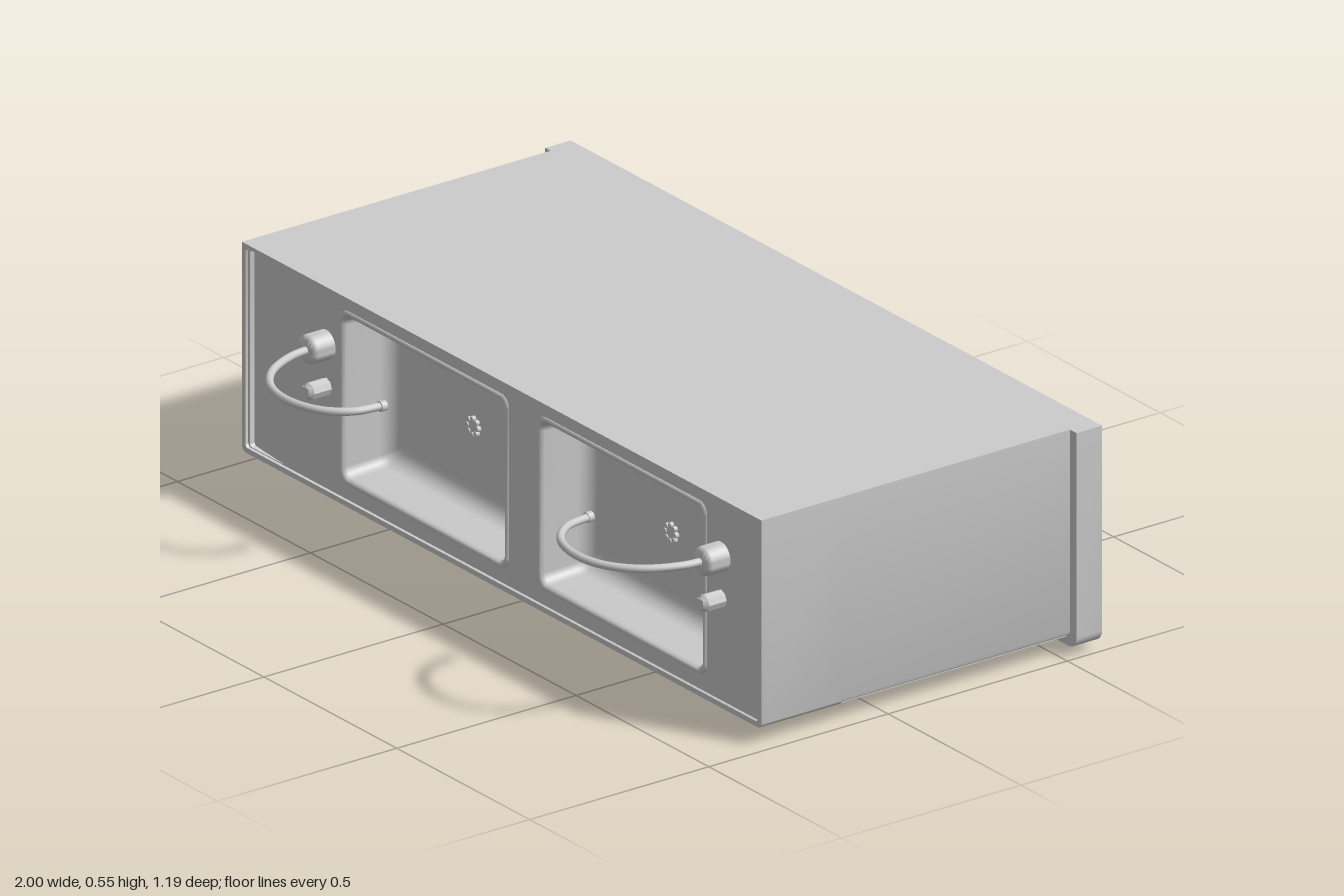
import * as THREE from 'three';
import { toCreasedNormals } from 'three/addons/utils/BufferGeometryUtils.js';

const material = new THREE.MeshStandardMaterial({ color: 0xcccccc });
const thin = new THREE.MeshStandardMaterial({ color: 0xcccccc, side: THREE.DoubleSide });
const MIRROR_X = 0.07; // middle line between the two basins

function add(parent, name, geometry, x = 0, y = 0, z = 0, mat = material) {
  const mesh = new THREE.Mesh(geometry, mat);
  mesh.name = name;
  mesh.position.set(x, y, z);
  parent.add(mesh);
  return mesh;
}

// Counter-clockwise rectangle outline with separate radii for bottom and top corners
function outline(x0, x1, y0, y1, rBottom, rTop = rBottom, steps = 6) {
  const points = [];
  const corners = [
    [x0, y0, 1, 1, rBottom, Math.PI], [x1, y0, -1, 1, rBottom, 1.5 * Math.PI],
    [x1, y1, -1, -1, rTop, 0], [x0, y1, 1, -1, rTop, 0.5 * Math.PI],
  ];
  for (const [x, y, sx, sy, r, start] of corners) {
    const n = r > 0 ? steps : 0;
    for (let i = 0; i <= n; i++) {
      const a = start + (n ? (i / n) * Math.PI / 2 : 0);
      points.push(new THREE.Vector2(x + sx * r + r * Math.cos(a), y + sy * r + r * Math.sin(a)));
    }
  }
  return points;
}

// Prism between z0 and z1 with optional holes
function prism(points, z0, z1, holes = []) {
  const shape = new THREE.Shape(points);
  shape.holes = holes.map((h) => new THREE.Path(h));
  const g = new THREE.ExtrudeGeometry(shape, { depth: z1 - z0, bevelEnabled: false });
  g.translate(0, 0, z0);
  return toCreasedNormals(g, 0.6);
}

// Hollow bowl: rounded rectangles stepping inward and down, closed by a fan
function basinGeometry(w, h) {
  const levels = [[-0.01, 0.327], [-0.008, 0.331], [-0.003, 0.332], [0.002, 0.329], [0.005, 0.32], [0.01, 0.235]];
  for (let i = 1; i <= 6; i++) {
    const a = (i / 6) * Math.PI / 2;
    levels.push([0.01 + 0.042 * (1 - Math.cos(a)), 0.235 - 0.045 * Math.sin(a)]);
  }
  const pos = [], index = [];
  let n = 0;
  for (const [inset, z] of levels) {
    const ring = outline(-w + inset, w - inset, -h + inset, h - inset, 0.026 - inset * 0.25);
    n = ring.length;
    ring.forEach((p) => pos.push(p.x, p.y, z));
  }
  for (let i = 0; i < levels.length - 1; i++) {
    for (let j = 0; j < n; j++) {
      const a = i * n + j, b = i * n + (j + 1) % n;
      index.push(a, b, a + n, b, b + n, a + n);
    }
  }
  const last = (levels.length - 1) * n;
  pos.push(0, 0, 0.188);
  for (let j = 0; j < n; j++) index.push(last + j, last + (j + 1) % n, last + n);
  const g = new THREE.BufferGeometry();
  g.setAttribute('position', new THREE.Float32BufferAttribute(pos, 3));
  g.setIndex(index);
  g.computeVertexNormals();
  return g;
}

// Round part whose axis runs along z, starting at z = 0
function post(r0, r1, length, sides = 24) {
  return new THREE.CylinderGeometry(r1, r0, length, sides).rotateX(Math.PI / 2).translate(0, 0, length / 2);
}

export function createModel() {
  const model = new THREE.Group();
  model.name = 'sinkCabinet';
  const L = -0.98, R = 0.975;

  // Cabinet carcass, worktop block and raised border
  const body = outline(L, R, 0.04, 0.55, 0.015, 0);
  add(model, 'carcass', prism(outline(L, R, 0.046, 0.55, 0.01, 0), -0.53, 0.11));
  const drainHole = outline(-0.96, -0.83, 0.055, 0.538, 0.008);
  const basinHoles = [-1, 1].map((s) => {
    const c = MIRROR_X + s * 0.3725;
    return outline(c - 0.31, c + 0.31, 0.098, 0.506, 0.028);
  });
  add(model, 'worktop', prism(body, 0.11, 0.327, [drainHole, ...basinHoles]));
  add(model, 'worktopBorder', prism(body, 0.327, 0.335, [outline(L + 0.013, R - 0.013, 0.053, 0.541, 0.01)]));

  // Sloping drain panel beside the basins
  const panel = add(model, 'drainPanel', new THREE.PlaneGeometry(0.131, 0.483), -0.895, 0.2965, 0.32, thin);
  panel.rotation.y = -0.09;

  // Plinth at the foot of the cabinet
  add(model, 'plinth', prism(outline(-1, 1, 0.02, 0.55, 0.03, 0), -0.597, -0.526));

  // Doors and side strip, with narrow gaps between them
  const seams = [-0.975, -0.36, 0.278, 0.9, 0.965];
  for (let i = 0; i < 4; i++) {
    const w = seams[i + 1] - seams[i] - 0.006;
    add(model, i < 3 ? 'door' : 'sideStrip', new THREE.BoxGeometry(w, 0.012, 0.63),
      (seams[i] + seams[i + 1]) / 2, 0.046, -0.212);
  }

  // Door handles: upright web with a flat grip
  for (const x of [-0.405, 0.22, 0.335]) {
    const handle = new THREE.Group();
    handle.name = 'doorHandle';
    handle.position.set(x, 0, -0.207);
    add(handle, 'handleWeb', new THREE.BoxGeometry(0.008, 0.04, 0.185), 0, 0.024, 0);
    add(handle, 'handleGrip', new THREE.BoxGeometry(0.026, 0.007, 0.206), 0, 0.0035, 0);
    model.add(handle);
  }

  // Basin, drain, tap and knob on each side, mirrored about the middle line
  const spout = new THREE.CatmullRomCurve3([
    [0, 0.37], [0.008, 0.43], [0.05, 0.515], [0.12, 0.57], [0.205, 0.585],
    [0.29, 0.56], [0.34, 0.505], [0.354, 0.435],
  ].map(([x, z]) => new THREE.Vector3(x, 0, z)));
  for (const s of [-1, 1]) {
    const cx = MIRROR_X + s * 0.3725;
    add(model, 'basin', basinGeometry(0.3075, 0.202), cx, 0.302, 0);

    const drain = new THREE.Group();
    drain.name = 'drain';
    drain.position.set(cx, 0.298, 0.188);
    add(drain, 'drainDisc', post(0.019, 0.017, 0.006));
    for (let i = 0; i < 8; i++) {
      const a = (i / 8) * Math.PI * 2;
      add(drain, 'drainPetal', post(0.007, 0.006, 0.009, 10), 0.019 * Math.cos(a), 0.019 * Math.sin(a), 0);
    }
    model.add(drain);

    const tapX = MIRROR_X + s * 0.743;
    const tap = new THREE.Group();
    tap.name = 'tap';
    tap.position.set(tapX, 0.405, 0);
    const base = [[0, 0.325], [0.035, 0.325], [0.035, 0.375], [0.032, 0.382], [0.026, 0.386], [0, 0.386]]
      .map(([r, z]) => new THREE.Vector2(r, z));
    add(tap, 'tapBase', toCreasedNormals(new THREE.LatheGeometry(base, 32).rotateX(Math.PI / 2), 0.7));
    const turned = new THREE.Group();
    turned.name = 'spoutGroup';
    turned.rotation.z = s > 0 ? Math.PI : 0;
    add(turned, 'spout', new THREE.TubeGeometry(spout, 48, 0.0095, 12));
    add(turned, 'spoutTip', post(0.0125, 0.0125, 0.015, 16), 0.354, 0, 0.426);
    tap.add(turned);
    model.add(tap);

    const knob = new THREE.Group();
    knob.name = 'knob';
    knob.position.set(tapX, 0.302, 0.325);
    add(knob, 'knobBody', toCreasedNormals(post(0.021, 0.021, 0.05, 8), 0.5));
    add(knob, 'knobCap', post(0.021, 0.013, 0.011, 8), 0, 0, 0.05);
    add(knob, 'knobRidge', new THREE.BoxGeometry(0.024, 0.007, 0.014), 0, 0.008, 0.054);
    model.add(knob);
  }
  return model;
}
